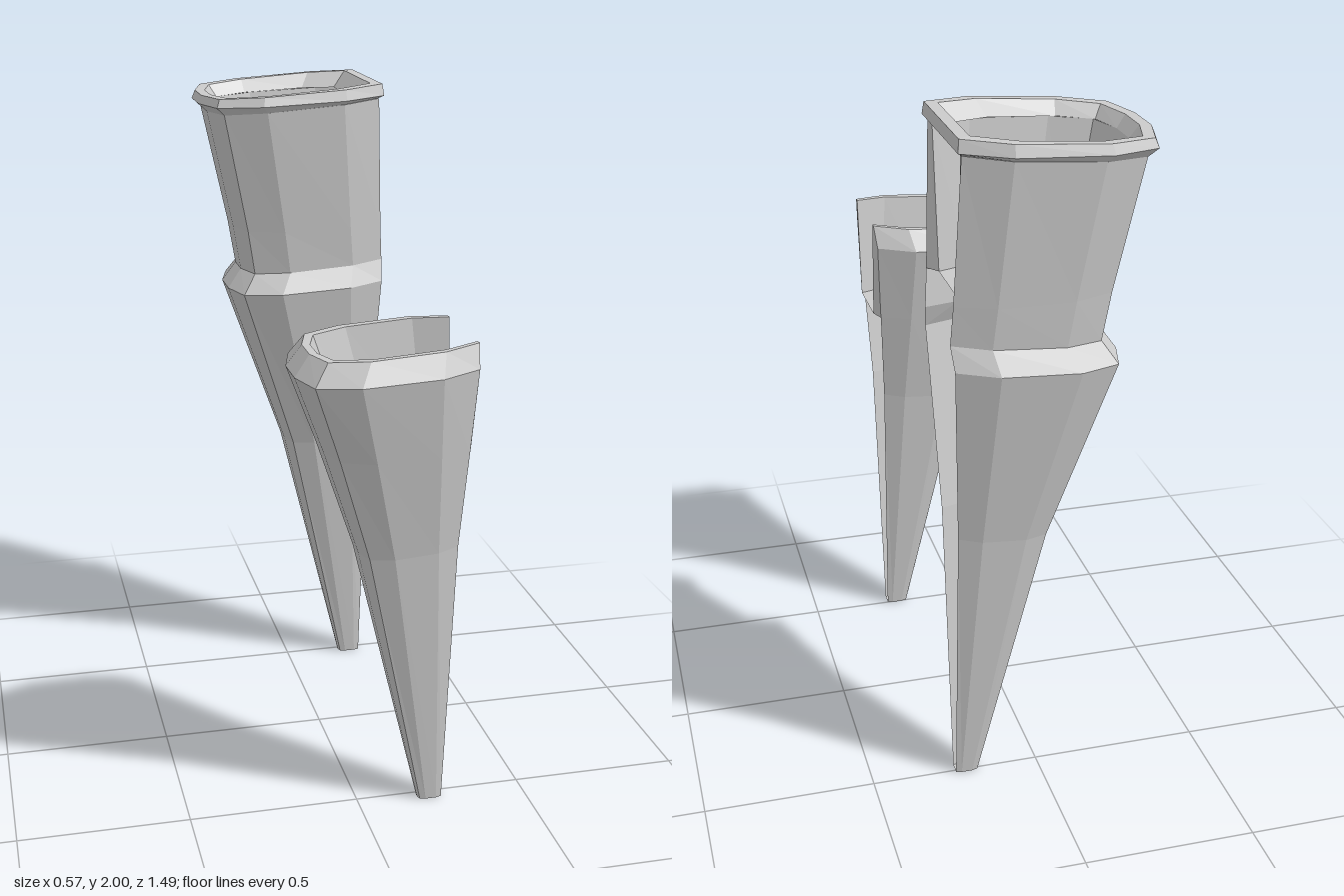
import * as THREE from 'three';

const material = new THREE.MeshStandardMaterial({ color: 0xcccccc, flatShading: true, side: THREE.DoubleSide });

// Half outline of the section: u runs from the rounded side (0) to the open side (1), v is the half depth
const HALF = [[1, 0.78], [0.765, 1], [0.305, 1], [0.065, 0.78], [0, 0.26]];
const OUTLINE = [...HALF, ...HALF.map(([u, v]) => [u, -v]).reverse()];

// One cross-section: [height at x0, height at x1, x0, x1, half depth]
const section = ([yL, yR, x0, x1, hz]) =>
  OUTLINE.map(([u, v]) => [x0 + (x1 - x0) * u, yL + (yR - yL) * u, v * hz]);

function meshOf(name, triangles) {
  const g = new THREE.BufferGeometry();
  g.setAttribute('position', new THREE.Float32BufferAttribute(triangles.flat(), 3));
  g.computeVertexNormals();
  const m = new THREE.Mesh(g, material);
  m.name = name;
  return m;
}

// Skin through sections; closed also spans the open side
function loft(name, sections, closed = false) {
  const rings = sections.map(section), tris = [], n = OUTLINE.length;
  for (let i = 0; i < rings.length - 1; i++) {
    for (let j = 0; j < (closed ? n : n - 1); j++) {
      const k = (j + 1) % n;
      const a = rings[i][j], b = rings[i][k], c = rings[i + 1][k], d = rings[i + 1][j];
      tris.push(a, c, b, a, d, c);
    }
  }
  return meshOf(name, tris);
}

function fan(name, pts, flip = false) {
  const tris = [];
  for (let i = 1; i < pts.length - 1; i++) {
    tris.push(pts[0], ...(flip ? [pts[i + 1], pts[i]] : [pts[i], pts[i + 1]]));
  }
  return meshOf(name, tris);
}

// Open-sided sheath: outer skin, inner lining, pocket floor, tip and the two edges of the opening
function sheath(name, outer, lining, floorIndex) {
  const group = new THREE.Group();
  group.name = name;
  const floor = lining[lining.length - 1];
  group.add(loft('outerShell', outer));
  group.add(loft('lining', [outer[outer.length - 1], ...lining]));
  group.add(fan('pocketFloor', section(floor)));
  group.add(fan('tip', section(outer[0]), true));
  for (const j of [0, OUTLINE.length - 1]) {
    const edge = [floor, ...outer.slice(floorIndex), ...lining.slice(0, -1)].map(s => section(s)[j]);
    group.add(fan('openingEdge', edge, j === 0));
  }
  return group;
}

export function createModel() {
  const model = new THREE.Group();
  const lower = [[0, 0, 0.18, 0.25, 0.023], [0.82, 0.84, -0.015, 0.256, 0.123]];
  const collar = [[1.35, 1.375, -0.2, 0.278, 0.222], [1.41, 1.44, -0.157, 0.284, 0.185]];

  // Short sheath
  const short = sheath('shortSheath',
    [...lower, [1.13, 1.13, -0.118, 0.268, 0.179], ...collar],
    [[1.41, 1.44, -0.135, 0.284, 0.163], [1.13, 1.13, -0.035, 0.284, 0.125]], 2);
  short.position.z = 0.52;

  // Tall sheath
  const tall = sheath('tallSheath',
    [...lower, ...collar, [1.55, 1.55, -0.18, 0.277, 0.197], [1.915, 1.955, -0.258, 0.26, 0.236]],
    [[1.93, 1.95, -0.22, 0.255, 0.195], [1.55, 1.55, -0.14, 0.25, 0.151]], 4);

  // Closed lip around the mouth
  tall.add(loft('rim', [
    [1.915, 1.955, -0.258, 0.255, 0.236],
    [1.94, 1.965, -0.285, 0.272, 0.255],
    [1.965, 2, -0.275, 0.268, 0.245],
    [1.965, 2, -0.245, 0.235, 0.215],
    [1.93, 1.95, -0.22, 0.195, 0.19],
    [1.915, 1.955, -0.258, 0.255, 0.236],
  ], true));
  tall.position.z = -0.49;

  model.add(short, tall);
  return model;
}
